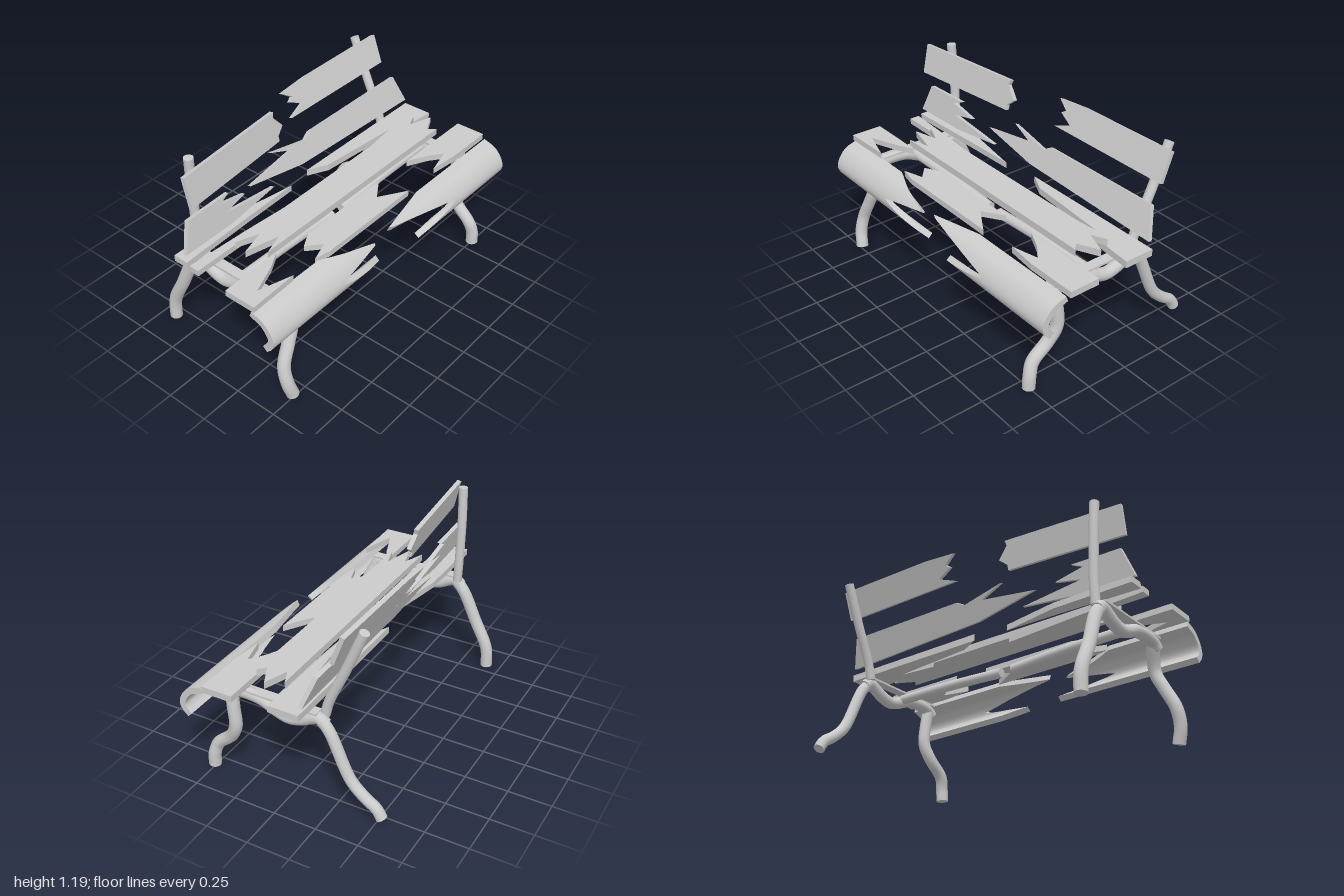
import * as THREE from 'three';
import { mergeGeometries, toCreasedNormals } from 'three/addons/utils/BufferGeometryUtils.js';

const mat = new THREE.MeshStandardMaterial({ color: 0xcccccc });
const matDouble = new THREE.MeshStandardMaterial({ color: 0xcccccc, side: THREE.DoubleSide });

function add(parent, name, geometry, material = mat) {
  const mesh = new THREE.Mesh(geometry, material);
  mesh.name = name;
  parent.add(mesh);
  return mesh;
}

// Round bar along [x, y, z] points with flat end caps
function bar(parent, name, points, radius) {
  const curve = new THREE.CatmullRomCurve3(points.map(p => new THREE.Vector3(...p)), false, 'centripetal');
  const parts = [new THREE.TubeGeometry(curve, points.length * 6, radius, 12)];
  for (const t of [0, 1]) {
    const dir = curve.getTangent(t).multiplyScalar(t ? 1 : -1);
    const cap = new THREE.CircleGeometry(radius, 12);
    cap.applyQuaternion(new THREE.Quaternion().setFromUnitVectors(new THREE.Vector3(0, 0, 1), dir));
    const p = curve.getPoint(t);
    parts.push(cap.translate(p.x, p.y, p.z));
  }
  add(parent, name, mergeGeometries(parts), matDouble);
}

function slab(outline, depth) {
  const shape = new THREE.Shape(outline.map(p => new THREE.Vector2(...p)));
  return new THREE.ExtrudeGeometry(shape, { depth, bevelEnabled: false });
}

// Flat board: outline in x, z, lying between two heights
function seatBoard(parent, name, outline, bottom, top) {
  const geo = slab(outline.map(([x, z]) => [x, -z]), top - bottom);
  add(parent, name, geo.rotateX(-Math.PI / 2).translate(0, bottom, 0));
}

// Upright board: outline in x, y, leaning back and turned about its centre
function backBoard(parent, name, outline, [cx, cy, cz], lean, yaw) {
  const geo = slab(outline.map(([x, y]) => [x - cx, (y - cy) / Math.cos(lean)]), 0.025);
  geo.translate(0, 0, -0.0125).rotateX(-lean).rotateY(yaw).translate(cx, cy, cz);
  add(parent, name, geo);
}

// Curved front board: a bent strip, x from a straight end to a splintered end
function curvedBoard(parent, name, endX, breakAt, dz) {
  const outer = new THREE.CatmullRomCurve3([[0.42, 0.64], [0.5, 0.61], [0.55, 0.55], [0.562, 0.5], [0.545, 0.46], [0.515, 0.43]]
    .map(([z, y]) => new THREE.Vector3(0, y, z + dz)));
  const n = 24, pos = [], idx = [];
  const breakX = t => {
    let i = 1;
    while (i < breakAt.length - 1 && breakAt[i][0] < t) i++;
    const [t0, a] = breakAt[i - 1], [t1, b] = breakAt[i];
    return a + (b - a) * (t - t0) / (t1 - t0);
  };
  for (let j = 0; j <= n; j++) {
    const t = j / n, p = outer.getPointAt(t), d = outer.getTangentAt(t);
    const q = [p.y + d.z * -0.035, p.z + d.y * 0.035];
    const bx = breakX(t), a = Math.min(endX, bx), b = Math.max(endX, bx);
    pos.push(a, p.y, p.z, b, p.y, p.z, b, ...q, a, ...q);
  }
  for (let j = 0; j < n; j++) {
    for (let k = 0; k < 4; k++) {
      const a = j * 4 + k, b = j * 4 + (k + 1) % 4;
      idx.push(a, a + 4, b, b, a + 4, b + 4);
    }
  }
  idx.push(0, 1, 2, 0, 2, 3);
  const e = n * 4;
  idx.push(e, e + 2, e + 1, e, e + 3, e + 2);
  const geo = new THREE.BufferGeometry();
  geo.setAttribute('position', new THREE.Float32BufferAttribute(pos, 3));
  geo.setIndex(idx);
  add(parent, name, toCreasedNormals(geo, 0.6), matDouble);
}

export function createModel() {
  const model = new THREE.Group();
  model.name = 'brokenBench';

  // Bent side frames
  const rightFrame = new THREE.Group(), leftFrame = new THREE.Group();
  rightFrame.name = 'rightFrame';
  leftFrame.name = 'leftFrame';
  model.add(rightFrame, leftFrame);
  for (const [frame, x] of [[rightFrame, -0.8], [leftFrame, 0.82]]) {
    bar(frame, 'seatBeam', [[x, 0.53, 0.38], [x, 0.56, 0.34], [x, 0.56, 0.17], [x, 0.515, 0.06],
      [x, 0.5, 0], [x, 0.515, -0.07], [x, 0.56, -0.18], [x, 0.53, -0.22]], 0.036);
    add(frame, 'seatPlate', new THREE.BoxGeometry(0.06, 0.012, 0.56).translate(x, 0.591, 0.1));
  }
  bar(rightFrame, 'upright', [[-0.78, 0.57, -0.2], [-0.78, 0.7, -0.205], [-0.79, 0.95, -0.207], [-0.8, 1.18, -0.2]], 0.027);
  bar(leftFrame, 'upright', [[0.79, 0.57, -0.2], [0.79, 0.66, -0.225], [0.79, 0.88, -0.325], [0.79, 1.115, -0.425]], 0.027);
  bar(rightFrame, 'rearLeg', [[-0.8, 0.56, -0.18], [-0.8, 0.5, -0.235], [-0.81, 0.3, -0.325], [-0.81, 0.13, -0.405], [-0.81, 0.005, -0.415]], 0.036);
  bar(leftFrame, 'rearLeg', [[0.82, 0.56, -0.18], [0.82, 0.5, -0.235], [0.82, 0.23, -0.36],
    [0.82, 0.15, -0.44], [0.82, 0.1, -0.51], [0.82, 0.05, -0.54]], 0.032);
  bar(rightFrame, 'frontLeg', [[-0.79, 0.55, 0.36], [-0.76, 0.42, 0.42], [-0.8, 0.32, 0.435],
    [-0.855, 0.2, 0.45], [-0.86, 0.1, 0.475], [-0.835, 0.005, 0.49]], 0.036);
  bar(leftFrame, 'frontLeg', [[0.82, 0.57, 0.355], [0.83, 0.45, 0.34], [0.83, 0.33, 0.335],
    [0.815, 0.24, 0.38], [0.81, 0.15, 0.475], [0.82, 0.08, 0.5], [0.82, 0.005, 0.505]], 0.036);

  // Snapped cross brace sagging towards the middle
  for (const s of [-1, 1]) {
    bar(model, s < 0 ? 'rightBrace' : 'leftBrace', [[s * 0.8, 0.54, 0.09], [s * 0.4, 0.535, 0.09], [s * 0.04, 0.517, 0.09]], 0.029);
  }

  // Curved front boards
  curvedBoard(model, 'rightFrontBoard', -1, [[0, -0.5], [0.2, -0.35], [0.4, -0.13], [0.62, -0.48], [1, -0.1]], -0.04);
  curvedBoard(model, 'leftFrontBoard', 0.99, [[0, 0.3], [0.22, -0.05], [0.6, 0.52], [0.88, 0.16], [1, 0.35]], 0);

  // Seat boards, front to back
  seatBoard(model, 'frontSeatBoardRight', [[-1, 0.21], [-0.63, 0.21], [-0.72, 0.26], [-0.9, 0.33], [-0.7, 0.39], [-1, 0.4]], 0.645, 0.68);
  seatBoard(model, 'frontSeatBoardMiddle', [[-0.37, 0.2], [0.24, 0.2], [0.12, 0.28], [0.28, 0.38],
    [-0.4, 0.38], [-0.5, 0.36], [-0.38, 0.32], [-0.46, 0.25]], 0.605, 0.64);
  seatBoard(model, 'frontSeatBoardLeft', [[0.48, 0.22], [1, 0.22], [1, 0.4], [0.7, 0.4], [0.52, 0.38], [0.68, 0.34], [0.6, 0.28]], 0.625, 0.662);
  seatBoard(model, 'middleSeatBoard', [[-0.73, 0.02], [0.83, 0.01], [0.74, 0.05], [0.88, 0.1], [0.76, 0.16],
    [0.8, 0.2], [-0.68, 0.2], [-0.55, 0.16], [-0.75, 0.11], [-0.6, 0.07]], 0.675, 0.715);
  seatBoard(model, 'rearSeatBoardRight', [[-0.98, -0.17], [-0.5, -0.17], [-0.15, -0.11], [-0.5, -0.1], [-0.98, -0.08]], 0.65, 0.685);
  seatBoard(model, 'rearSeatSplinter', [[-0.98, -0.06], [-0.6, -0.04], [-0.08, 0], [-0.98, 0]], 0.64, 0.675);
  seatBoard(model, 'rearSeatBoardLeft', [[0.04, -0.16], [0.98, -0.16], [0.98, 0.02], [0.45, -0.03], [0.68, -0.055], [0.16, -0.1]], 0.625, 0.665);

  // Backrest boards
  backBoard(model, 'upperBackBoardRight', [[-0.92, 1.16], [-0.92, 0.99], [-0.2, 0.99], [-0.2, 1.02],
    [-0.15, 1.06], [-0.21, 1.13], [-0.2, 1.16]], [-0.535, 1.075, -0.14], 0.22, 0.1);
  backBoard(model, 'upperBackBoardLeft', [[0.88, 1.115], [0.24, 1.11], [0.04, 1.095], [0.11, 1.05], [0.08, 1.03],
    [0.17, 0.99], [0.06, 0.95], [0.88, 0.95]], [0.46, 1.03, -0.325], 0.36, 0);
  backBoard(model, 'lowerBackBoardRight', [[-0.91, 0.885], [-0.97, 0.72], [-0.62, 0.715], [-0.28, 0.745], [-0.66, 0.79],
    [-0.5, 0.82], [-0.68, 0.855], [-0.61, 0.885]], [-0.63, 0.8, -0.127], 0.2, 0.04);
  backBoard(model, 'lowerBackBoardLeft', [[0.9, 0.865], [0.12, 0.862], [0.0, 0.835], [0.07, 0.835], [-0.2, 0.88],
    [-0.05, 0.83], [-0.4, 0.785], [0, 0.725], [0.96, 0.7]].filter((_, i) => i !== 2), [0.3, 0.785, -0.19], 0.35, 0);

  return model;
}
